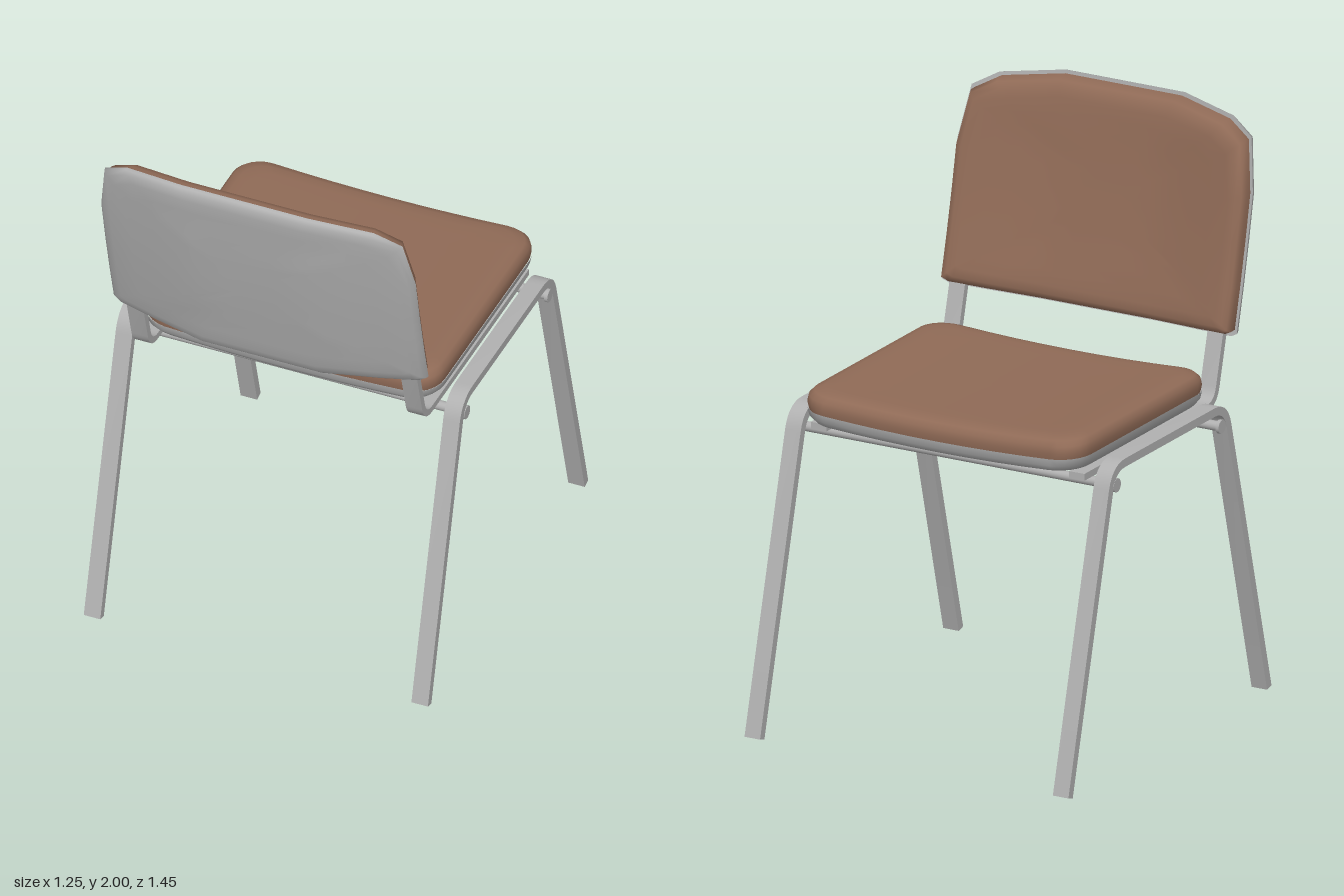
import * as THREE from 'three';
import { toCreasedNormals } from 'three/addons/utils/BufferGeometryUtils.js';

const brown = new THREE.MeshStandardMaterial({ color: 0x8f6a56 });
brown.name = 'brownUpholstery';
const grey = new THREE.MeshStandardMaterial({ color: 0xb0b0b0 });
grey.name = 'greyMetal';

function addMesh(parent, name, geometry, material) {
  const mesh = new THREE.Mesh(geometry, material);
  mesh.name = name;
  parent.add(mesh);
  return mesh;
}

// Open dish: an outline followed inward through [inset, depth] rings, then closed to its centre.
function dish(outline, halfU, halfV, rings, place, flip) {
  const last = rings[rings.length - 1];
  const levels = rings.map(([inset, w]) => [1 - inset / halfU, 1 - inset / halfV, w]);
  const [lu, lv] = levels[levels.length - 1];
  for (const k of [0.85, 0.68, 0.5, 0.33, 0.16]) levels.push([lu * k, lv * k, last[1]]);

  const positions = [], index = [], n = outline.length;
  for (const [su, sv, w] of levels)
    for (const [u, v] of outline) positions.push(...place(u * su, v * sv, w));
  positions.push(...place(0, 0, last[1]));
  const tri = (a, b, c) => (flip ? index.push(a, c, b) : index.push(a, b, c));
  for (let i = 0; i < levels.length; i++) {
    for (let j = 0; j < n; j++) {
      const a = i * n + j, b = i * n + (j + 1) % n;
      if (i === levels.length - 1) tri(a, b, levels.length * n);
      else {
        tri(a, b, b + n);
        tri(a, b + n, a + n);
      }
    }
  }
  const g = new THREE.BufferGeometry();
  g.setAttribute('position', new THREE.Float32BufferAttribute(positions, 3));
  g.setIndex(index);
  g.computeVertexNormals();
  return g;
}

// Flat bar bent along (z, y) corners with rounded bends, extruded across x.
function bentBar(corners, bend, thickness, width) {
  const pts = corners.map(([z, y]) => new THREE.Vector2(z, y));
  const path = [pts[0]];
  for (let i = 1; i < pts.length - 1; i++) {
    const toward = (p) => pts[i].clone().add(p.clone().sub(pts[i]).setLength(bend));
    const curve = new THREE.QuadraticBezierCurve(toward(pts[i - 1]), pts[i], toward(pts[i + 1]));
    path.push(...curve.getPoints(7));
  }
  path.push(pts[pts.length - 1]);
  const side = (s) => path.map((p, i) => {
    const d = path[Math.min(i + 1, path.length - 1)].clone().sub(path[Math.max(i - 1, 0)]).normalize();
    return new THREE.Vector2(p.x - d.y * s, p.y + d.x * s);
  });
  const shape = new THREE.Shape([...side(thickness / 2), ...side(-thickness / 2).reverse()]);
  const g = new THREE.ExtrudeGeometry(shape, { depth: width, bevelEnabled: false });
  g.translate(0, 0, -width / 2).rotateY(-Math.PI / 2);
  return toCreasedNormals(g, 0.6);
}

function buildSeat(parent) {
  const hu = 0.54, hv = 0.4525, r = 0.1;
  // Rounded rectangle with extra points along its sides
  const outline = [];
  const corners = [[1, -1], [1, 1], [-1, 1], [-1, -1]];
  corners.forEach(([sx, sy], c) => {
    const cx = sx * (hu - r), cy = sy * (hv - r);
    for (let k = 0; k <= 6; k++) {
      const a = (c - 1) * Math.PI / 2 + (k / 6) * Math.PI / 2;
      outline.push([cx + r * Math.cos(a), cy + r * Math.sin(a)]);
    }
    const [nx, ny] = corners[(c + 1) % 4];
    const [px, py] = outline[outline.length - 1];
    const along = c % 2 === 0;
    const ex = along ? px : nx * (hu - r), ey = along ? ny * (hv - r) : py;
    for (let k = 1; k < 8; k++) outline.push([px + (ex - px) * k / 8, py + (ey - py) * k / 8]);
  });
  const place = (u, v, w) => [u, w + 0.02 * (u / hu) ** 2, -0.078 - v];
  addMesh(parent, 'seatCushion', dish(outline, hu, hv,
    [[0.004, 1.092], [0, 1.115], [0.004, 1.138], [0.018, 1.155], [0.045, 1.163], [0.08, 1.165]], place, false), brown);
  addMesh(parent, 'seatShell', dish(outline, hu, hv,
    [[0, 1.095], [0.004, 1.07], [0.02, 1.05], [0.055, 1.042], [0.075, 1.042]], place, true), grey);
}

function buildBackrest(parent) {
  const midY = 1.62, hu = 0.57, hv = 0.38;
  const half = [[0.22, 1.24], [0.42, 1.252], [0.545, 1.262], [0.57, 1.275], [0.57, 1.42], [0.57, 1.58],
    [0.57, 1.74], [0.54, 1.92], [0.45, 1.97], [0.23, 2.0]];
  const outline = [...half, ...half.map(([x, y]) => [-x, y]).reverse()].map(([x, y]) => [x, y - midY]);
  // Sides wrap forward around the sitter
  const knots = [[0, 0], [0.22, 0], [0.46, -0.05], [0.53, -0.067], [0.58, -0.085]];
  const bow = (x) => {
    const a = Math.abs(x);
    const i = Math.max(1, knots.findIndex((k) => k[0] >= a));
    const [p, q] = [knots[i - 1], knots[i]];
    return p[1] + (q[1] - p[1]) * (a - p[0]) / (q[0] - p[0]);
  };
  const place = (u, v, w) => {
    const t = v + midY - 1.26;
    return [u - 0.005, v + midY, 0.552 + 0.27 * t - 0.083 * t * t + bow(u) + w];
  };
  addMesh(parent, 'backrestShell', dish(outline, hu, hv,
    [[0, -0.004], [0.003, 0.008], [0.015, 0.018], [0.045, 0.024]], place, false), grey);
  addMesh(parent, 'backrestShellRim', dish(outline, hu, hv, [[0, -0.004], [0.02, -0.004]], place, true), grey);
  addMesh(parent, 'backrestCushion', dish(outline, hu, hv,
    [[0.012, 0], [0.012, -0.03], [0.02, -0.052], [0.04, -0.065], [0.07, -0.07]], place, true), brown);
}

export function createModel() {
  const chair = new THREE.Group();
  chair.name = 'chair';
  buildSeat(chair);
  buildBackrest(chair);

  // Side leg frames and the bars that carry the seat and backrest
  const legs = bentBar([[0.6, 0], [0.315, 1.076], [-0.425, 1.076], [-0.712, 0]], 0.075, 0.03, 0.06);
  const support = bentBar([[0.507, 1.42], [0.405, 1.04], [-0.46, 1.04]], 0.06, 0.024, 0.06);
  for (const [side, s] of [['left', 1], ['right', -1]]) {
    addMesh(chair, side + 'LegFrame', legs, grey).position.x = s * 0.595;
    addMesh(chair, side + 'SeatSupport', support, grey).position.x = s * 0.498 - 0.003;
  }

  // Crossbars with end caps
  const bar = new THREE.CylinderGeometry(0.017, 0.017, 1.24, 16).rotateZ(Math.PI / 2);
  const cap = new THREE.CylinderGeometry(0.024, 0.024, 0.012, 16).rotateZ(Math.PI / 2);
  for (const [end, z] of [['front', 0.287], ['rear', -0.405]]) {
    addMesh(chair, end + 'Crossbar', bar, grey).position.set(0, 1.012, z);
    for (const s of [-1, 1]) addMesh(chair, end + 'CrossbarCap', cap, grey).position.set(s * 0.62, 1.012, z);
  }
  return chair;
}
